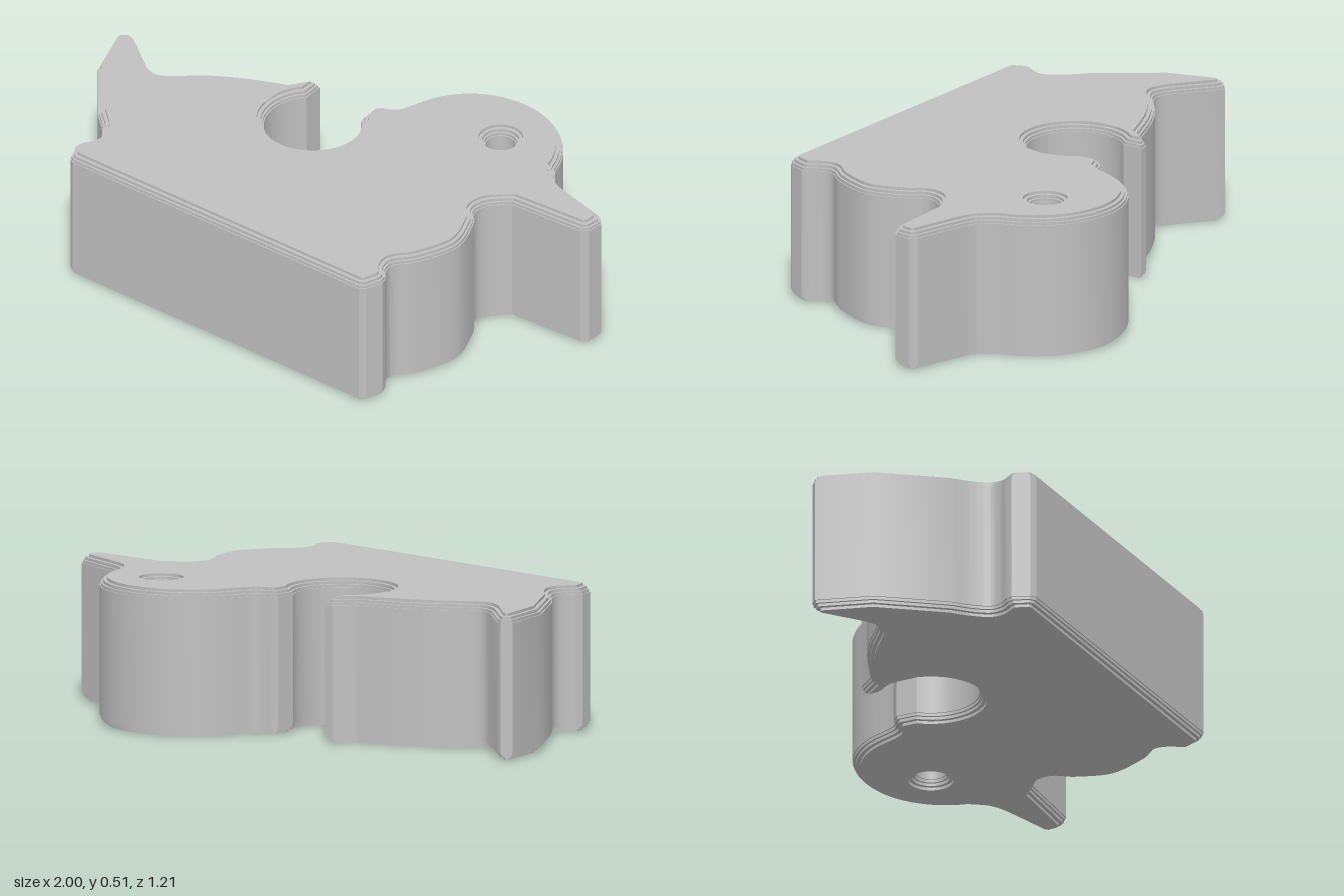
import * as THREE from 'three';
import { toCreasedNormals } from 'three/addons/utils/BufferGeometryUtils.js';

const HEIGHT = 0.51;

// Duck outline in plan; shape y becomes -z once laid flat
function duckOutline() {
  const s = new THREE.Shape();
  const lines = (...pts) => pts.forEach(([x, y]) => s.lineTo(x, y));
  const spline = (...pts) => s.splineThru(pts.map(([x, y]) => new THREE.Vector2(x, y)));

  // flat base and front foot
  s.moveTo(-0.665, -0.602);
  lines([0.575, -0.602], [0.595, -0.585], [0.618, -0.525], [0.612, -0.5]);
  // ankle, breast and throat
  spline([0.585, -0.46], [0.585, -0.415], [0.64, -0.345], [0.692, -0.2], [0.655, -0.065],
    [0.613, 0.0], [0.625, 0.06], [0.685, 0.118]);
  // bill
  lines([0.965, 0.135], [0.992, 0.155], [0.998, 0.215], [0.975, 0.238]);
  spline([0.76, 0.293], [0.71, 0.325]);
  // head and nape
  s.absarc(0.37, 0.29, 0.32, 0.24, 2.86, false);
  spline([0.035, 0.315], [-0.008, 0.293]);
  lines([-0.032, 0.27]);
  // round bay in the back
  s.absarc(-0.148, 0.077, 0.168, Math.PI * 0.25, -Math.PI * 1.25, true);
  // horn and back
  lines([-0.267, 0.272], [-0.298, 0.268], [-0.35, 0.205]);
  spline([-0.5, 0.14], [-0.61, 0.075], [-0.71, -0.005], [-0.755, -0.02], [-0.805, 0.0]);
  // tail
  lines([-0.94, 0.103], [-0.966, 0.11], [-0.998, 0.083], [-0.935, -0.11], [-0.765, -0.33]);
  // rear ankle and foot
  spline([-0.715, -0.375], [-0.677, -0.425], [-0.677, -0.465], [-0.7, -0.5]);
  lines([-0.71, -0.528], [-0.686, -0.588]);

  // eye hole
  const eye = new THREE.Path();
  eye.absarc(0.433, 0.38, 0.052, 0, Math.PI * 2, true);
  s.holes.push(eye);
  return s;
}

// One slab of the outline, shrunk by inset, from y to HEIGHT - y
function slab(outline, y, inset) {
  const g = new THREE.ExtrudeGeometry(outline, {
    depth: HEIGHT - 2 * y, curveSegments: 14,
    bevelEnabled: true, bevelSegments: 0, bevelThickness: 0, bevelSize: 0, bevelOffset: -inset,
  });
  g.rotateX(-Math.PI / 2);
  g.translate(0, y, 0);
  return toCreasedNormals(g, 0.5);
}

export function createModel() {
  const grey = new THREE.MeshStandardMaterial({ color: 0xc0c0c0 });
  grey.name = 'grey';
  const duck = new THREE.Group();
  duck.name = 'duckBlock';

  // Nested slabs leave a finely stepped rounding on the top and bottom rims
  const steps = [[0.03, 0], [0.02, 0.004], [0.01, 0.012], [0, 0.025]];
  const outline = duckOutline();
  steps.forEach(([y, inset], i) => {
    const mesh = new THREE.Mesh(slab(outline, y, inset), grey);
    mesh.name = i === 0 ? 'body' : `rimStep${i}`;
    duck.add(mesh);
  });
  return duck;
}
